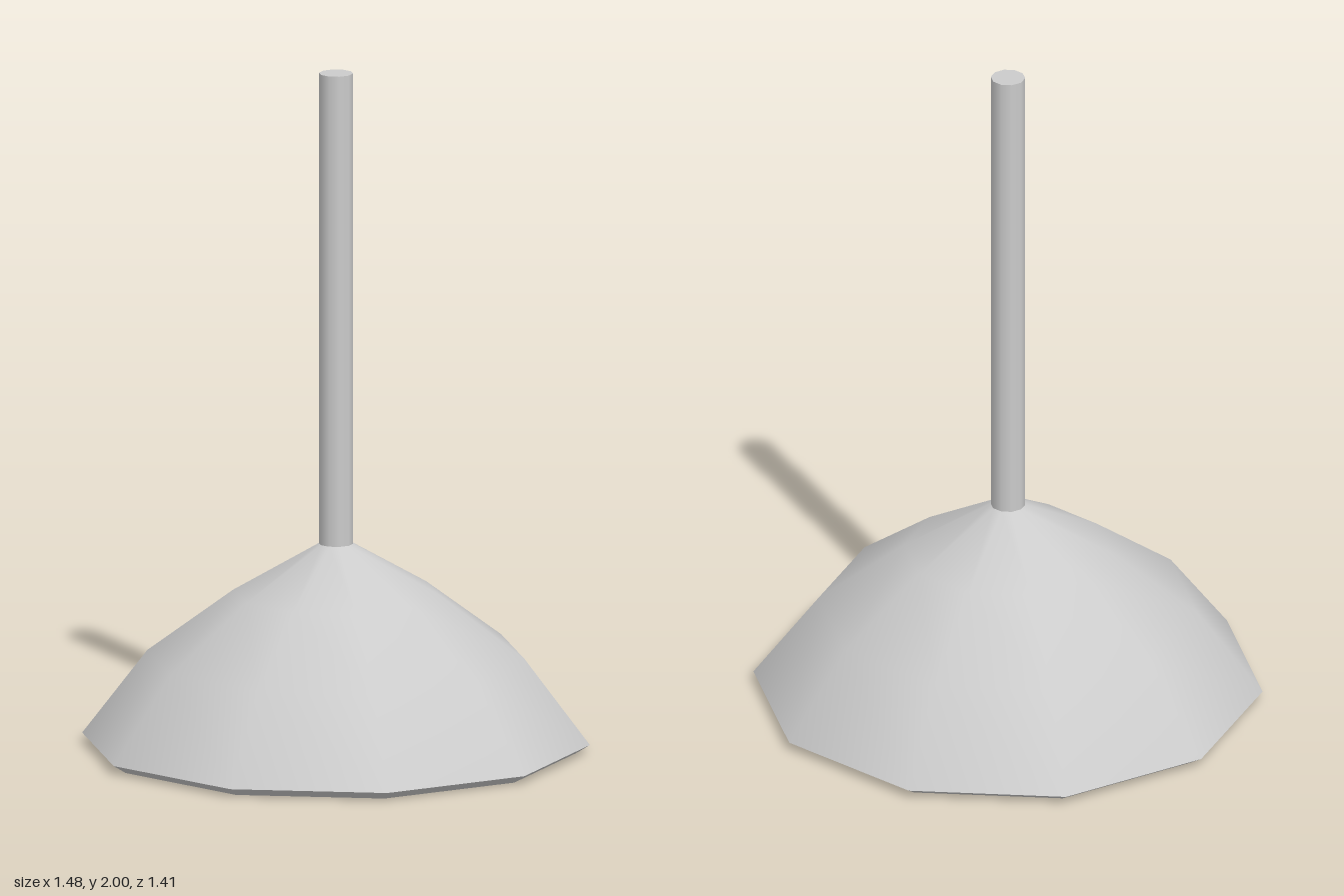
import * as THREE from 'three';

const SIDES = 10;

export function createModel() {
  const lamp = new THREE.Group();
  lamp.name = 'pendantLamp';
  const material = new THREE.MeshStandardMaterial({ color: 0xcccccc });

  const add = (name, geometry, parent = lamp) => {
    const mesh = new THREE.Mesh(geometry, material);
    mesh.name = name;
    parent.add(mesh);
    return mesh;
  };
  // ten-sided lathe with a corner on the x axis; profile is [radius, height]
  const turn = (profile) => new THREE.LatheGeometry(
    profile.map(([r, y]) => new THREE.Vector2(r, y)), SIDES, Math.PI / 2);

  // hanging rod, sunk slightly into the shade
  const rod = add('rod', new THREE.CylinderGeometry(0.05, 0.05, 1.42, SIDES, 1, false, Math.PI / 2));
  rod.position.y = 1.29;

  // shade: separate surfaces keep the rim edges sharp
  const shade = new THREE.Group();
  shade.name = 'shade';
  lamp.add(shade);
  add('shadeOuter', turn([[0.74, 0.025], [0.55, 0.275], [0.3, 0.46], [0.05, 0.605]]), shade);
  add('shadeRim', turn([[0.7, 0], [0.74, 0.025]]), shade);
  add('shadeInner', turn([[0, 0.575], [0.03, 0.57], [0.28, 0.425], [0.52, 0.245], [0.7, 0]]), shade);

  // socket and bulb under the crown
  const socket = add('socket', new THREE.CylinderGeometry(0.05, 0.05, 0.1, SIDES, 1, false, Math.PI / 2));
  socket.position.y = 0.53;
  add('bulb', turn([[0, 0.27], [0.08, 0.295], [0.13, 0.37], [0.13, 0.43], [0.08, 0.505], [0.05, 0.53]]));

  return lamp;
}
